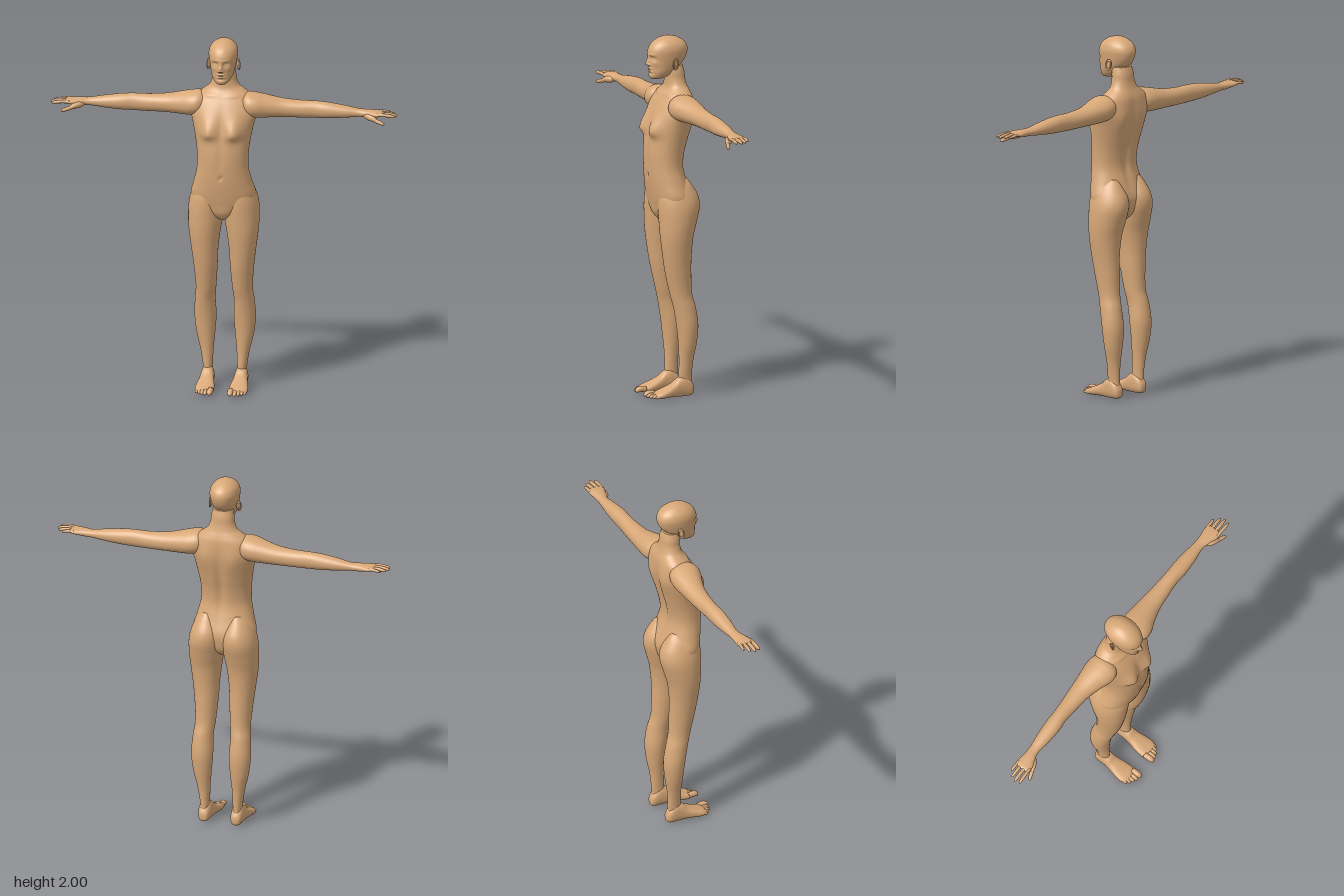
import * as THREE from 'three';

const skin = new THREE.MeshStandardMaterial({ color: 0xd8a878 });

// Catmull-Rom blend of four key rows, column by column
const blend = (a, b, c, d, t) => b.map((_, k) => 0.5 * (2 * b[k] + (c[k] - a[k]) * t
  + (2 * a[k] - 5 * b[k] + 4 * c[k] - d[k]) * t * t
  + (3 * b[k] - a[k] - 3 * c[k] + d[k]) * t * t * t));

// Smooth skin through key sections [t, uMin, uMax, vMin, vMax], t increasing.
// (t, u, v) is (y, x, z), (x, z, y) or (z, y, x). Both ends close to a point.
function loft(axis, keys, { segs = 32, per = 6, n = 2, deform } = {}) {
  const shut = ([t, a, b, c, d]) => [t, (a + b) / 2, (a + b) / 2, (c + d) / 2, (c + d) / 2];
  const rows = [shut(keys[0])];
  const last = keys.length - 1;
  for (let i = 0; i < last; i++) {
    for (let s = 0; s < per; s++) {
      rows.push(blend(keys[Math.max(i - 1, 0)], keys[i], keys[i + 1], keys[Math.min(i + 2, last)], s / per));
    }
  }
  rows.push(keys[last], shut(keys[last]));
  const pos = [], index = [];
  const power = (w) => Math.sign(w) * Math.abs(w) ** (2 / n);
  rows.forEach(([t, u0, u1, v0, v1], i) => {
    for (let j = 0; j < segs; j++) {
      const q = (j / segs) * Math.PI * 2;
      const u = (u0 + u1) / 2 + (u1 - u0) / 2 * power(Math.cos(q));
      const v = (v0 + v1) / 2 + (v1 - v0) / 2 * power(Math.sin(q));
      const p = axis === 'y' ? new THREE.Vector3(u, t, v)
        : axis === 'x' ? new THREE.Vector3(t, v, u) : new THREE.Vector3(v, u, t);
      if (deform) deform(p, Math.sin(q));
      pos.push(p.x, p.y, p.z);
      if (i < rows.length - 1) {
        const a = i * segs + j, b = i * segs + (j + 1) % segs;
        index.push(a, a + segs, b, b, a + segs, b + segs);
      }
    }
  });
  const g = new THREE.BufferGeometry();
  g.setAttribute('position', new THREE.Float32BufferAttribute(pos, 3));
  g.setIndex(index);
  g.computeVertexNormals();
  return g;
}

// Reflected copy across x = 0 with corners reordered
function mirrored(geo) {
  const g = geo.clone().scale(-1, 1, 1);
  const ix = g.index.array;
  for (let i = 0; i < ix.length; i += 3) [ix[i], ix[i + 1]] = [ix[i + 1], ix[i]];
  g.computeVertexNormals();
  return g;
}

// Section symmetric in x: [y, halfWidth, back, front]
const even = ([y, w, z0, z1]) => [y, -w, w, z0, z1];
const bell = (d, s) => Math.exp(-((d / s) ** 2));
// Bell with different spreads below and above its peak
const lean = (d, below, above) => bell(d, d < 0 ? below : above);

// Finger or toe between two points given as [t, u, v], with rounded tip
function digit(axis, a, b, r, bend = 0) {
  const keys = [[0, 1], [0.3, 0.95], [0.5, 1], [0.75, 0.92], [0.91, 0.72], [0.98, 0.4], [1, 0.05]].map(([f, k]) => {
    const c = a.map((v, i) => v + (b[i] - v) * f);
    c[axis === 'x' ? 2 : 1] += bend * Math.sin(f * Math.PI);
    return [c[0], c[1] - r * k, c[1] + r * k, c[2] - r * k, c[2] + r * k];
  });
  return loft(axis, keys, { segs: 14, per: 3 });
}

function torsoShape(p, side) {
  const ax = Math.abs(p.x);
  if (side > 0) {
    p.z += 0.034 * side * bell(ax - 0.075, 0.045) * lean(p.y - 1.485, 0.032, 0.07); // breasts
    p.z -= 0.008 * bell(p.x, 0.02) * bell(p.y - 1.5, 0.1); // breastbone
    p.z -= 0.010 * bell(p.x, 0.009) * bell(p.y - 1.235, 0.012); // navel
    p.z -= 0.005 * bell(p.x, 0.02) * bell(p.y - 1.34, 0.07);
    p.z += 0.006 * bell(ax - 0.07, 0.05) * bell(p.y - 1.685, 0.012); // collarbones
  } else {
    p.z += 0.016 * bell(p.x, 0.026) * bell(p.y - 1.4, 0.2); // spine
    p.z -= 0.009 * bell(ax - 0.085, 0.04) * bell(p.y - 1.56, 0.07); // shoulder blades
  }
}

function faceShape(p, side) {
  if (side <= 0) return;
  const ax = Math.abs(p.x), dy = p.y;
  p.z -= 0.014 * bell(ax - 0.03, 0.017) * bell(dy - 1.884, 0.013); // eye sockets
  p.z += 0.006 * bell(ax - 0.031, 0.011) * bell(dy - 1.881, 0.008); // eyelids
  p.z += 0.004 * bell(ax - 0.03, 0.025) * bell(dy - 1.905, 0.008); // brows
  p.z += 0.023 * bell(p.x, 0.010) * lean(dy - 1.849, 0.007, 0.032); // nose
  p.z += 0.009 * bell(ax - 0.012, 0.006) * bell(dy - 1.847, 0.007); // nostrils
  p.z += 0.007 * bell(p.x, 0.019) * (bell(dy - 1.825, 0.005) + bell(dy - 1.811, 0.006)); // lips
  p.z -= 0.004 * bell(p.x, 0.024) * bell(dy - 1.818, 0.003);
  p.z -= 0.004 * bell(p.x, 0.03) * bell(dy - 1.798, 0.007);
  p.z += 0.004 * bell(ax - 0.045, 0.016) * bell(dy - 1.855, 0.016); // cheekbones
}

export function createModel() {
  const model = new THREE.Group();
  model.name = 'humanFigure';
  const add = (name, geo) => {
    const m = new THREE.Mesh(geo, skin);
    m.name = name;
    model.add(m);
  };
  const pair = (name, geo) => {
    add('left' + name, geo);
    add('right' + name, mirrored(geo));
  };

  // Torso and neck
  add('torso', loft('y', [
    [0.975, 0.005, -0.04, 0.03], [0.985, 0.03, -0.07, 0.05], [1.02, 0.09, -0.105, 0.075],
    [1.07, 0.155, -0.12, 0.086], [1.12, 0.178, -0.122, 0.096], [1.2, 0.158, -0.098, 0.108],
    [1.28, 0.141, -0.08, 0.115], [1.36, 0.141, -0.088, 0.117], [1.44, 0.151, -0.108, 0.111],
    [1.52, 0.167, -0.126, 0.1], [1.58, 0.18, -0.134, 0.083], [1.63, 0.175, -0.134, 0.06],
    [1.67, 0.152, -0.13, 0.036], [1.7, 0.115, -0.121, 0.015], [1.725, 0.084, -0.112, 0.005],
    [1.76, 0.068, -0.104, 0.003], [1.8, 0.063, -0.1, 0.005], [1.84, 0.055, -0.09, 0.01],
  ].map(even), { segs: 96, per: 8, n: 2.15, deform: torsoShape }));

  // Head and face
  add('head', loft('y', [
    [1.764, 0.006, 0.055, 0.078], [1.769, 0.028, 0.02, 0.092], [1.785, 0.045, -0.015, 0.1],
    [1.81, 0.058, -0.045, 0.099], [1.84, 0.066, -0.08, 0.1], [1.87, 0.072, -0.105, 0.103],
    [1.9, 0.077, -0.118, 0.106], [1.93, 0.079, -0.121, 0.102], [1.96, 0.07, -0.107, 0.084],
    [1.985, 0.047, -0.073, 0.05], [1.997, 0.022, -0.037, 0.014], [2.0, 0.001, -0.012, -0.01],
  ].map(even), { segs: 128, per: 10, n: 2.1, deform: faceShape }));

  // Ears: thin shell with a raised rim
  const place = (g) => g.rotateX(-0.15).rotateY(0.35).translate(0.08, 1.853, -0.02);
  pair('Ear', place(new THREE.SphereGeometry(1, 20, 14).scale(0.008, 0.03, 0.016)));
  pair('EarRim', place(new THREE.TorusGeometry(0.8, 0.2, 8, 28).rotateY(Math.PI / 2)
    .scale(0.02, 0.032, 0.018).translate(0.005, 0, 0)));

  // Arms running into the palms
  pair('Arm', loft('x', [
    [0.08, -0.09, 0, 1.6, 1.67], [0.13, -0.118, 0.045, 1.562, 1.692], [0.18, -0.125, 0.047, 1.553, 1.688],
    [0.24, -0.12, 0.024, 1.553, 1.675], [0.32, -0.113, 0, 1.555, 1.658], [0.42, -0.105, -0.012, 1.555, 1.65],
    [0.5, -0.1, -0.018, 1.556, 1.65], [0.57, -0.1, -0.013, 1.558, 1.645], [0.66, -0.094, -0.018, 1.565, 1.632],
    [0.74, -0.084, -0.027, 1.574, 1.618], [0.79, -0.084, -0.014, 1.575, 1.617], [0.83, -0.089, 0, 1.58, 1.615],
    [0.86, -0.09, 0.004, 1.587, 1.612], [0.872, -0.082, -0.004, 1.594, 1.606],
  ], { segs: 40, n: 2.1 }));

  // Fingers as [z at root, z at tip, tip x, radius], then thumb
  [[-0.079, -0.082, 0.912, 0.0085], [-0.056, -0.057, 0.94, 0.0095],
    [-0.031, -0.031, 0.952, 0.01], [-0.007, -0.003, 0.945, 0.0095]].forEach(([z0, z1, x, r], i) => {
    pair('Finger' + (i + 1), digit('x', [0.845, z0, 1.6], [x, z1, 1.594], r, 0.004));
  });
  pair('ThumbBase', loft('x', [[0.765, -0.045, -0.025, 1.58, 1.595], [0.79, -0.045, -0.001, 1.567, 1.603],
    [0.82, -0.03, 0.012, 1.563, 1.597], [0.845, -0.005, 0.016, 1.56, 1.58]], { segs: 20 }));
  pair('Thumb', digit('x', [0.81, -0.005, 1.578], [0.888, 0.021, 1.557], 0.0115));

  // Legs, with the buttocks formed by their upper ends
  pair('Leg', loft('y', [
    [0.03, 0.068, 0.12, -0.112, -0.04], [0.1, 0.068, 0.119, -0.109, -0.034], [0.2, 0.064, 0.134, -0.115, -0.035],
    [0.3, 0.055, 0.157, -0.131, -0.029], [0.4, 0.048, 0.168, -0.138, -0.018], [0.5, 0.051, 0.163, -0.124, 0],
    [0.58, 0.044, 0.156, -0.105, 0.02], [0.7, 0.035, 0.165, -0.1, 0.047], [0.8, 0.03, 0.177, -0.1, 0.063],
    [0.9, 0.018, 0.19, -0.11, 0.075], [0.98, 0.004, 0.195, -0.131, 0.08], [1.06, -0.004, 0.192, -0.151, 0.083],
    [1.12, 0, 0.178, -0.144, 0.08], [1.18, 0.025, 0.152, -0.11, 0.065], [1.22, 0.05, 0.12, -0.08, 0.045],
  ], { segs: 48, per: 8 }));

  // Feet
  pair('Foot', loft('z', [
    [-0.121, 0.025, 0.042, 0.082, 0.1], [-0.116, 0.01, 0.062, 0.07, 0.114], [-0.098, 0.002, 0.09, 0.061, 0.124],
    [-0.065, 0, 0.115, 0.058, 0.127], [-0.03, 0, 0.105, 0.056, 0.129], [0, 0.002, 0.08, 0.051, 0.134],
    [0.04, 0.002, 0.059, 0.043, 0.142], [0.08, 0, 0.042, 0.04, 0.145], [0.105, 0.002, 0.032, 0.043, 0.136],
    [0.118, 0.01, 0.022, 0.05, 0.115],
  ], { segs: 36, n: 2.4 }));

  // Toes as [x, tip z, radius]
  [[0.057, 0.157, 0.0165], [0.081, 0.152, 0.0115], [0.1, 0.143, 0.011],
    [0.117, 0.132, 0.0105], [0.132, 0.118, 0.01]].forEach(([x, z, r], i) => {
    pair('Toe' + (i + 1), digit('z', [z - 0.06, r + 0.006, x - 0.002], [z, r + 0.001, x], r, 0.005));
  });
  return model;
}
